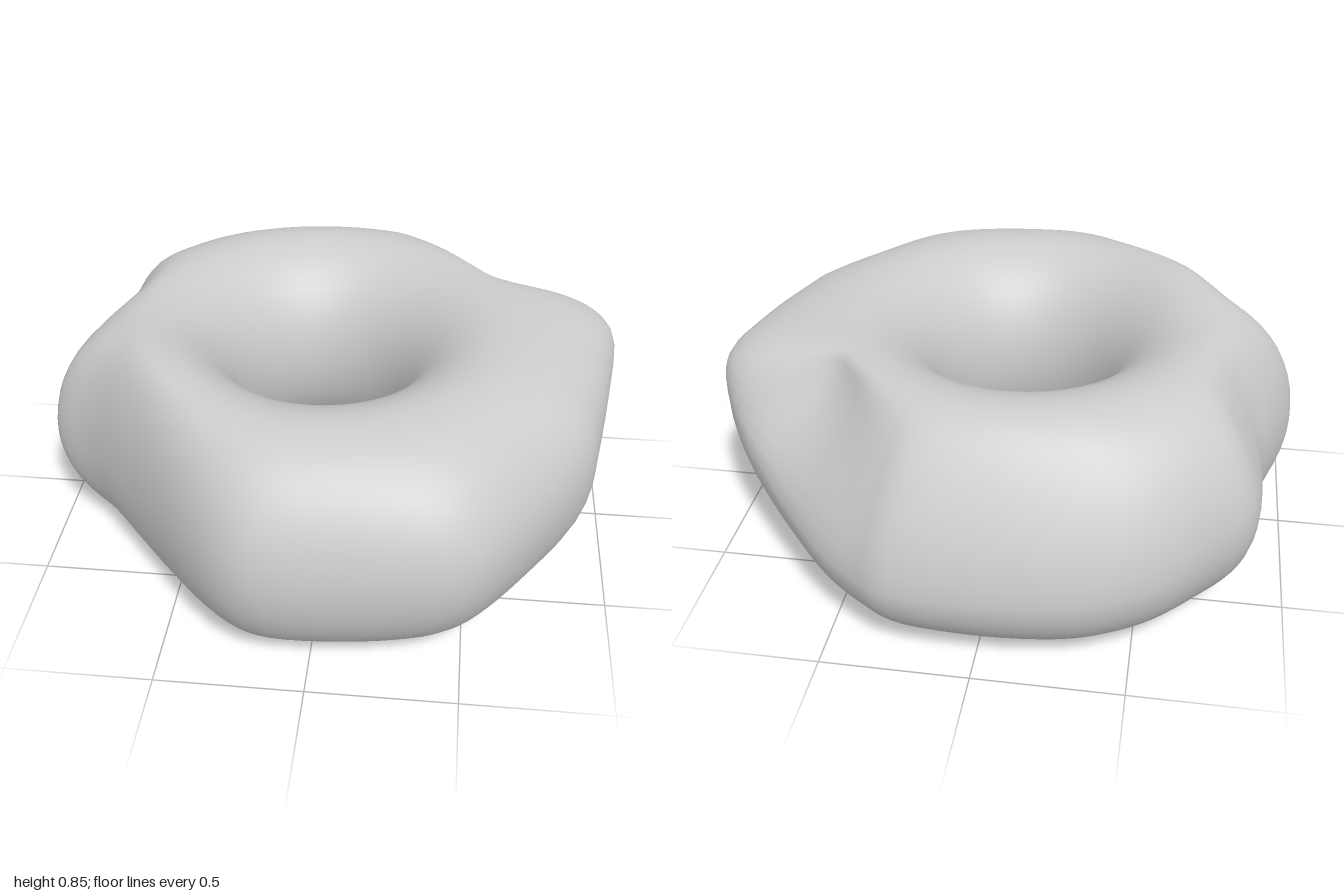
import * as THREE from 'three';

// Outline around the ring: x, z, height of the widest point, dent in the upper shoulder
const OUTLINE = [
  [1.0, -0.24, 0.55, -0.06], [0.98, 0, 0.51, -0.05], [0.94, 0.25, 0.47, -0.03], [0.9, 0.4, 0.45, -0.02],
  [0.76, 0.615, 0.44, 0], [0.6, 0.83, 0.43, 0], [0.475, 0.925, 0.42, 0], [0.31, 0.965, 0.41, 0],
  [0.1, 0.985, 0.4, 0], [-0.13, 0.99, 0.4, 0], [-0.27, 0.94, 0.4, 0], [-0.4, 0.82, 0.4, 0],
  [-0.54, 0.65, 0.4, 0], [-0.68, 0.485, 0.4, 0], [-0.84, 0.32, 0.4, 0], [-0.985, 0.21, 0.38, 0],
  [-1.0, 0.11, 0.37, 0], [-0.95, -0.05, 0.37, 0.01], [-0.9, -0.22, 0.38, 0.03], [-0.895, -0.4, 0.4, 0.04],
  [-0.87, -0.58, 0.4, 0.02], [-0.75, -0.72, 0.38, 0.01], [-0.61, -0.85, 0.35, 0.02], [-0.47, -0.93, 0.33, 0.03],
  [-0.3, -0.98, 0.31, 0.04], [-0.02, -1.0, 0.3, 0.04], [0.26, -0.985, 0.3, 0.04], [0.39, -0.92, 0.3, 0.06],
  [0.54, -0.81, 0.32, 0.1], [0.68, -0.665, 0.36, 0.13], [0.8, -0.54, 0.42, 0.12], [0.93, -0.4, 0.53, -0.02],
];
const CENTRE_X = -0.04, CREST = 0.64, HEIGHT = 0.82;

// One point of the ring surface: u runs round the ring, v round the tube from the hole over the top
function ringPoint(edge, dent, v) {
  const dx = edge.x - CENTRE_X, outer = Math.hypot(dx, edge.z);
  const cx = dx / outer, cz = edge.z / outer;
  const c = -Math.cos(v), s = Math.sin(v);
  const hole = 1 / Math.hypot(cx / 0.285, cz / 0.305);
  let r, y;
  if (c < 0) {
    r = CREST + c * (CREST - hole);
    y = HEIGHT / 2 * (1 + s);
  } else {
    r = CREST + c * (outer - CREST);
    y = edge.y + s * (s > 0 ? HEIGHT - edge.y : edge.y);
    if (s > 0) r -= dent * Math.max(0, 2 * s * c) ** 1.6;
  }
  const x = CENTRE_X + cx * r, z = cz * r;
  // Low swelling on the top
  if (s > 0) y += 0.03 * s * Math.exp(-((x + 0.54) ** 2 + (z - 0.33) ** 2) / 0.07);
  return [x, y, z];
}

function ringGeometry(nu, nv) {
  const edgeCurve = new THREE.CatmullRomCurve3(
    OUTLINE.map(([x, z, y]) => new THREE.Vector3(x, y, z)), true, 'catmullrom', 0.5);
  const dentCurve = new THREE.CatmullRomCurve3(
    OUTLINE.map((p) => new THREE.Vector3(p[3], 0, 0)), true, 'catmullrom', 0.5);
  const pos = [], index = [];
  for (let i = 0; i < nu; i++) {
    const edge = edgeCurve.getPoint(i / nu), dent = dentCurve.getPoint(i / nu).x;
    for (let j = 0; j < nv; j++) {
      pos.push(...ringPoint(edge, dent, j / nv * Math.PI * 2));
      const i2 = (i + 1) % nu, j2 = (j + 1) % nv;
      const a = i * nv + j, b = i2 * nv + j, c = i2 * nv + j2, d = i * nv + j2;
      index.push(a, b, c, a, c, d);
    }
  }
  const geo = new THREE.BufferGeometry();
  geo.setAttribute('position', new THREE.Float32BufferAttribute(pos, 3));
  geo.setIndex(index);
  geo.computeVertexNormals();
  return geo;
}

export function createModel() {
  const group = new THREE.Group();
  const ring = new THREE.Mesh(ringGeometry(128, 48), new THREE.MeshStandardMaterial({ color: 0xcccccc }));
  ring.name = 'lumpyRing';
  group.add(ring);
  return group;
}
